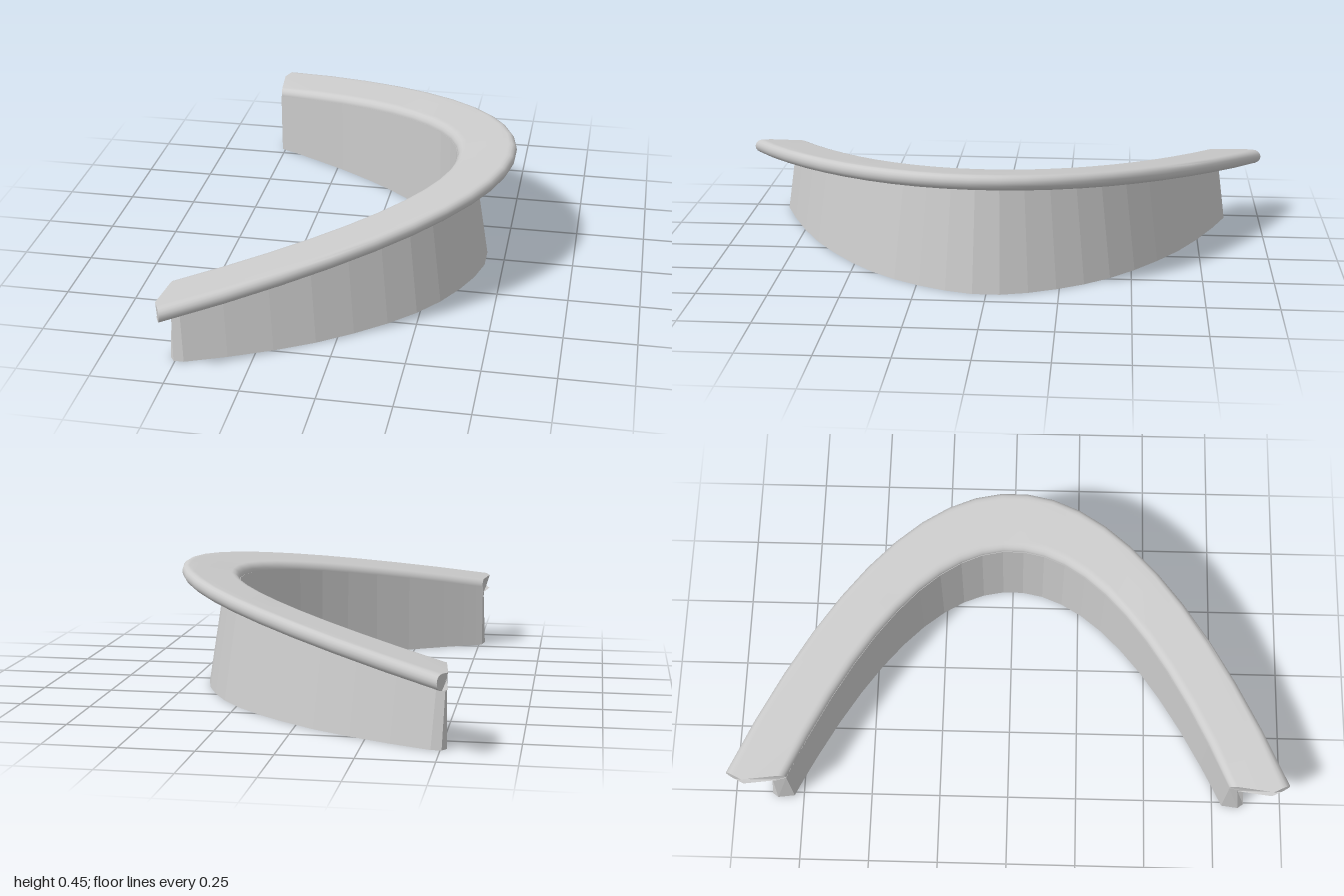
import * as THREE from 'three';
import { toCreasedNormals } from 'three/addons/utils/BufferGeometryUtils.js';

const RADIUS = 0.027;                     // half thickness of the counter top
const LEAN = 0.157;                       // inward lean of the wall per unit height
const planeY = (x) => 0.334 + 0.18 * x;   // tilted mid-plane of the top

// Plan curves: both edges of the counter top are parabolas, v runs 0..1
const outerEdge = (v) => [0.527 - 1.027 * v * v, v];
const innerEdge = (v) => [0.317 - 0.827 * v * v, 0.785 * v];

// Wall foot [x, z] from the middle to the rounded end corner
const FOOT = [
  [0.433, 0.048], [0.407, 0.144], [0.365, 0.24], [0.31, 0.335],
  [0.24, 0.425], [0.152, 0.512], [0.05, 0.595], [-0.065, 0.675],
  [-0.195, 0.747], [-0.335, 0.812], [-0.47, 0.866], [-0.505, 0.866], [-0.52, 0.845],
];
const PANELS = 21;

// Closed solid through one half's rings, mirrored to the other side in z.
// Ring points run counter-clockwise when seen from +z.
function loft(halfRings) {
  const mirrored = halfRings.map((ring) => ring.map(([x, y, z]) => [x, y, -z])).reverse();
  const rings = [...mirrored, ...halfRings];
  const n = rings[0].length, index = [];
  for (let i = 0; i < rings.length - 1; i++) {
    for (let j = 0; j < n; j++) {
      const a = i * n + j, b = i * n + ((j + 1) % n);
      index.push(a, b, b + n, a, b + n, a + n);
    }
  }
  const last = (rings.length - 1) * n;
  for (let j = 1; j < n - 1; j++) {
    index.push(0, j + 1, j, last, last + j, last + j + 1);
  }
  const geo = new THREE.BufferGeometry();
  geo.setAttribute('position', new THREE.Float32BufferAttribute(rings.flat(2), 3));
  geo.setIndex(index);
  geo.computeVertexNormals();
  return geo;
}

// Capsule cross-section as [s, dy]; s runs 0 (outer edge) to 1 (inner edge)
function capsuleSection() {
  const section = [], steps = 8, r = 0.13;
  for (const side of [0, 1]) {
    for (let k = 0; k <= steps; k++) {
      const a = -Math.PI / 2 + Math.PI * (side + k / steps);
      section.push([(side ? 1 - r : r) - r * Math.cos(a), RADIUS * Math.sin(a)]);
    }
    const flats = [0.16, 0.28, 0.84];
    if (side) flats.reverse();
    flats.forEach((s) => section.push([s, side ? -RADIUS : RADIUS]));
  }
  return section;
}

function topRings() {
  const section = capsuleSection(), rings = [];
  for (let v = 1; v <= PANELS; v += 2) {
    const [ox, oz] = outerEdge(v / PANELS), [ix, iz] = innerEdge(v / PANELS);
    rings.push(section.map(([s, dy]) => {
      // the end face is bent outwards to a blunt point
      const bulge = v === PANELS ? 0.026 * Math.min(s / 0.28, (1 - s) / 0.72) : 0;
      const x = ox + (ix - ox) * s - bulge;
      return [x, planeY(x) + dy, oz + (iz - oz) * s];
    }));
  }
  return rings;
}

// Wall cross-section: outer face leans in, inner face is upright
function wallRings() {
  const endV = [0.955, 0.985, 1];
  return FOOT.map(([fx, fz], i) => {
    const v = i < 10 ? (2 * i + 1) / PANELS : endV[i - 10];
    const height = planeY(fx - 0.03) - RADIUS;
    const normal = new THREE.Vector2(1, 2.3 * fz).normalize();
    const tx = Math.max(fx - normal.x * LEAN * height, -0.513);
    const tz = fz - normal.y * LEAN * height;
    const [edgeX, iz] = innerEdge(v);
    const ix = edgeX - 0.002;
    return [
      [fx, 0, fz],
      [tx, planeY(tx) - RADIUS * 0.9, tz],
      [ix, planeY(ix), iz],
      [ix, 0, iz],
    ];
  });
}

export function createModel() {
  const group = new THREE.Group();
  group.name = 'curvedCounter';

  const top = new THREE.Mesh(
    toCreasedNormals(loft(topRings()), 0.6),
    new THREE.MeshStandardMaterial({ color: 0xcccccc })
  );
  top.name = 'counterTop';

  const wall = new THREE.Mesh(
    loft(wallRings()),
    new THREE.MeshStandardMaterial({ color: 0xcccccc, flatShading: true })
  );
  wall.name = 'supportWall';

  group.add(top, wall);
  return group;
}
